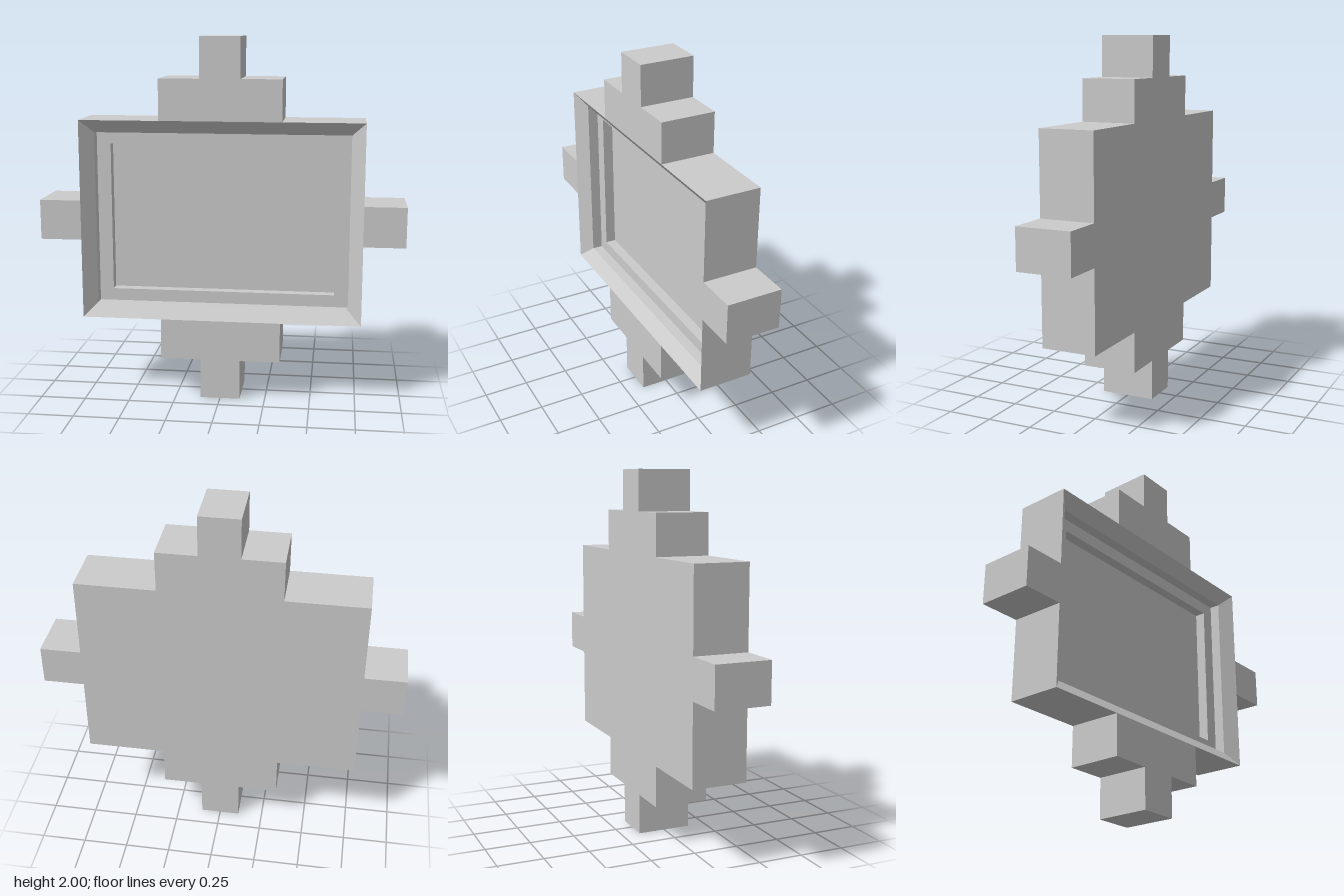
import * as THREE from 'three';

const FRONT = 0.15, BACK = -0.15;
const material = new THREE.MeshStandardMaterial({ color: 0xcccccc, flatShading: true });

// Wall of quads between two closed loops with the same number of corners
function strip(a, za, b, zb) {
  const pos = [];
  a.forEach((p, i) => {
    const j = (i + 1) % a.length;
    const a0 = [...p, za], a1 = [...a[j], za], b0 = [...b[i], zb], b1 = [...b[j], zb];
    pos.push(...a0, ...a1, ...b1, ...a0, ...b1, ...b0);
  });
  const g = new THREE.BufferGeometry();
  g.setAttribute('position', new THREE.Float32BufferAttribute(pos, 3));
  g.computeVertexNormals();
  return g;
}

// Flat polygon facing the front
const plate = (pts, z) =>
  new THREE.ShapeGeometry(new THREE.Shape(pts.map(p => new THREE.Vector2(...p)))).translate(0, 0, z);

const rect = (x, y) => [[x, -y], [x, y], [-x, y], [-x, -y]];

export function createModel() {
  const group = new THREE.Group();
  const add = (name, geometry) => {
    const mesh = new THREE.Mesh(geometry, material);
    mesh.name = name;
    mesh.position.y = 1;
    group.add(mesh);
    return mesh;
  };

  // Stepped silhouette: one quadrant mirrored into four
  const quad = [[1, 0.11], [0.773, 0.11], [0.773, 0.553], [0.332, 0.553],
    [0.332, 0.778], [0.11, 0.778], [0.11, 1]];
  const flip = (sx, sy) => quad.map(([x, y]) => [x * sx, y * sy]);
  const outline = [...quad, ...flip(-1, 1).reverse(), ...flip(-1, -1), ...flip(1, -1).reverse()];

  add('outerWalls', strip(outline, BACK, outline, FRONT));
  add('backPanel', plate(outline, 0).rotateY(Math.PI).translate(0, 0, BACK));

  // Front faces of the four arms
  const sideArm = [[0.773, -0.11], [1, -0.11], [1, 0.11], [0.773, 0.11]];
  const steppedArm = [...quad.slice(3), ...flip(-1, 1).slice(3).reverse()];
  for (const [side, angle] of [['left', 0], ['right', Math.PI]])
    add(side + 'ArmFront', plate(sideArm, FRONT).rotateZ(angle));
  for (const [side, angle] of [['top', 0], ['bottom', Math.PI]])
    add(side + 'ArmFront', plate(steppedArm, FRONT).rotateZ(angle));

  // Picture-frame recess: sloped bevel, step, ledge, second step, panel
  const rings = [
    ['outerRim', 0.773, 0.553, FRONT],
    ['frameBevel', 0.7, 0.482, 0.092],
    ['frameStep', 0.7, 0.482, 0.034],
    ['frameLedge', 0.623, 0.414, 0.034],
    ['panelStep', 0.623, 0.414, -0.024],
  ];
  for (let i = 1; i < rings.length; i++) {
    const [, x0, y0, z0] = rings[i - 1], [name, x1, y1, z1] = rings[i];
    add(name, strip(rect(x0, y0), z0, rect(x1, y1), z1));
  }
  add('innerPanel', plate(rect(0.623, 0.414), -0.024));

  return group;
}
